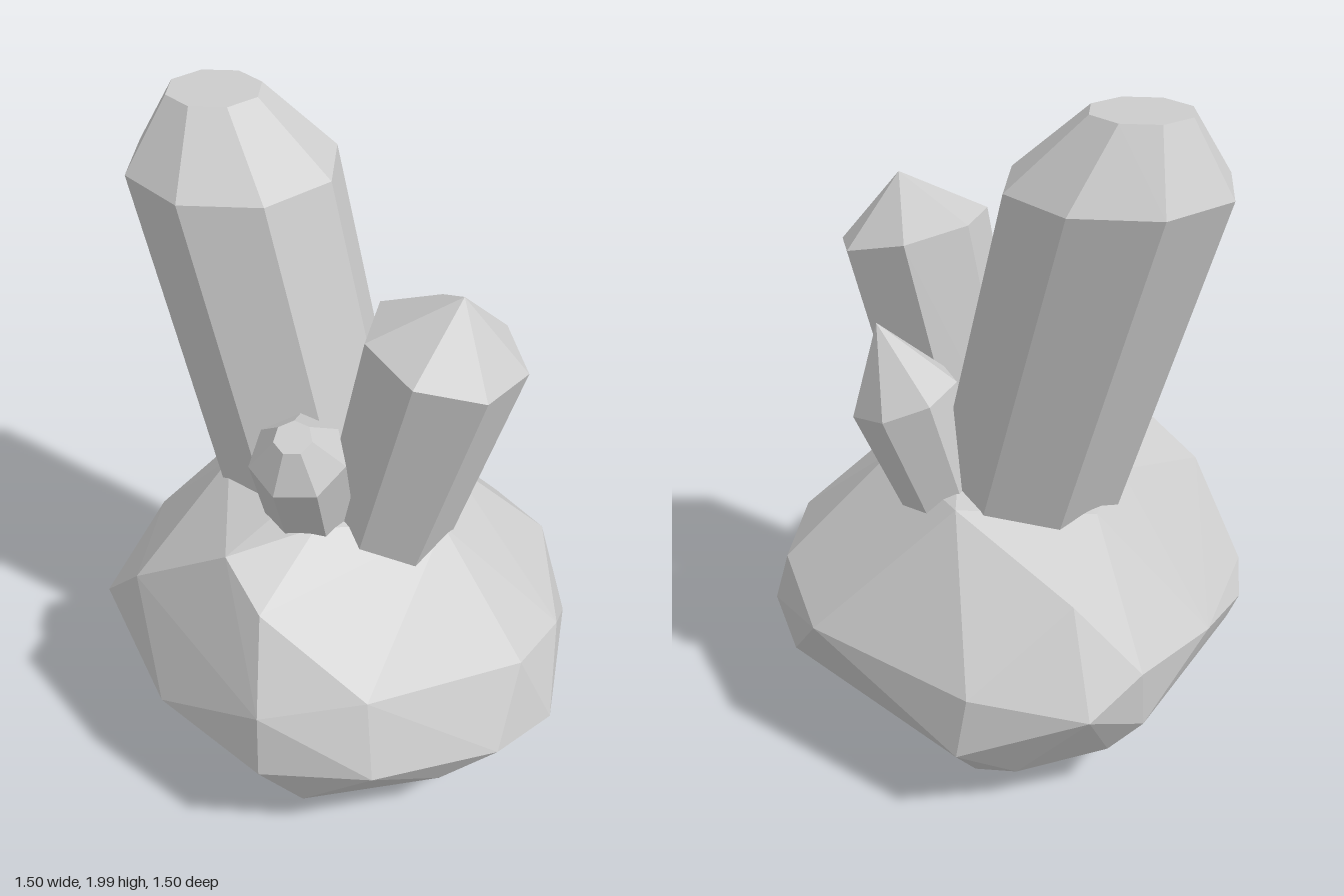
import * as THREE from 'three';
import { ConvexGeometry } from 'three/addons/geometries/ConvexGeometry.js';

const stone = new THREE.MeshStandardMaterial({ color: 0xcccccc });
stone.name = 'grey stone';

// Faceted look: every triangle gets its own normal
function facet(geometry) {
  const g = geometry.index ? geometry.toNonIndexed() : geometry;
  g.computeVertexNormals();
  return g;
}

// Tapered prism from base to tip, with a shoulder and a pointed or cut-off end.
// A level crystal is sheared, so that its shoulder stays horizontal.
function crystal({ name, base, tip, shoulder, r0, r1, cap = 0, turn, sides = 7, level = false }) {
  const axis = new THREE.Vector3(...tip).sub(new THREE.Vector3(...base));
  const h = axis.length();
  axis.normalize();
  const profile = [[0, 0], [r0, 0], [r1, h * shoulder], [cap, h]];
  if (cap) profile.push([0, h]);
  const geometry = new THREE.LatheGeometry(
    profile.map(([r, y]) => new THREE.Vector2(r, y)), sides, turn);
  const up = new THREE.Vector3(0, 1, 0);
  const lean = new THREE.Matrix4();
  if (level) lean.makeBasis(new THREE.Vector3(1, 0, 0), axis, new THREE.Vector3(0, 0, 1));
  else lean.makeRotationFromQuaternion(new THREE.Quaternion().setFromUnitVectors(up, axis));
  const mesh = new THREE.Mesh(facet(geometry.applyMatrix4(lean)), stone);
  mesh.name = name;
  mesh.position.set(...base);
  return mesh;
}

export function createModel() {
  const model = new THREE.Group();
  model.name = 'crystalCluster';

  // Boulder: hull around its corner points, from the ground up
  const corners = [
    // underside
    [-0.08, 0, 0.02], [0.58, 0.055, 0.06], [-0.5, 0.11, 0.05], [-0.07, 0.15, 0.67],
    [0.34, 0.17, 0.58], [0.71, 0.14, 0.07], [0.66, 0.17, -0.19], [0.02, 0.12, -0.64],
    [-0.1, 0.12, -0.64], [-0.36, 0.16, -0.56],
    // waist
    [-0.72, 0.26, 0], [0.06, 0.26, -0.755], [0.745, 0.28, -0.07], [0.68, 0.25, 0.38],
    [0.51, 0.29, 0.57], [0.14, 0.35, 0.75], [-0.19, 0.345, 0.745], [-0.51, 0.38, 0.51],
    [-0.75, 0.43, 0.09], [-0.75, 0.37, -0.04], [-0.64, 0.45, -0.34], [-0.45, 0.46, -0.59],
    [-0.46, 0.27, -0.57], [-0.31, 0.38, -0.72], [0.03, 0.45, -0.745], [0.52, 0.46, -0.47],
    [0.69, 0.48, 0.2], [0.66, 0.53, -0.2],
    // upper slopes
    [0.57, 0.5, 0.4], [-0.19, 0.55, 0.72], [0.12, 0.57, 0.66], [-0.6, 0.68, 0.29],
    [-0.25, 0.66, -0.57], [-0.19, 0.81, 0.57],
    // crown
    [-0.3, 0.9, 0.43], [-0.05, 0.93, 0.32], [0.05, 0.94, -0.07], [0.12, 0.93, -0.13],
    [0.34, 0.86, -0.1], [0.32, 0.84, 0.18], [0.1, 0.85, -0.4], [-0.3, 0.82, -0.33],
    [-0.36, 0.84, -0.1],
  ];
  const boulder = new THREE.Mesh(
    facet(new ConvexGeometry(corners.map((p) => new THREE.Vector3(...p)))), stone);
  boulder.name = 'boulder';
  model.add(boulder);

  // Crystals growing out of the crown
  [
    { name: 'tallCrystal', base: [-0.06, 0.7, -0.1], tip: [-0.375, 1.99, -0.31],
      shoulder: 0.845, r0: 0.295, r1: 0.315, cap: 0.14, turn: Math.PI / 8, sides: 8, level: true },
    { name: 'mediumCrystal', base: [0.12, 0.72, 0.12], tip: [0.34, 1.65, 0.205],
      shoulder: 0.82, r0: 0.2, r1: 0.235, turn: -0.38 },
    { name: 'frontCrystal', base: [-0.065, 0.75, 0.13], tip: [-0.105, 1.285, 0.365],
      shoulder: 0.82, r0: 0.13, r1: 0.14, cap: 0.055, turn: Math.PI / 7 },
    { name: 'backCrystal', base: [0.13, 0.72, -0.23], tip: [0.335, 1.355, -0.25],
      shoulder: 0.65, r0: 0.115, r1: 0.16, turn: 0.2 },
  ].forEach((c) => model.add(crystal(c)));

  return model;
}
